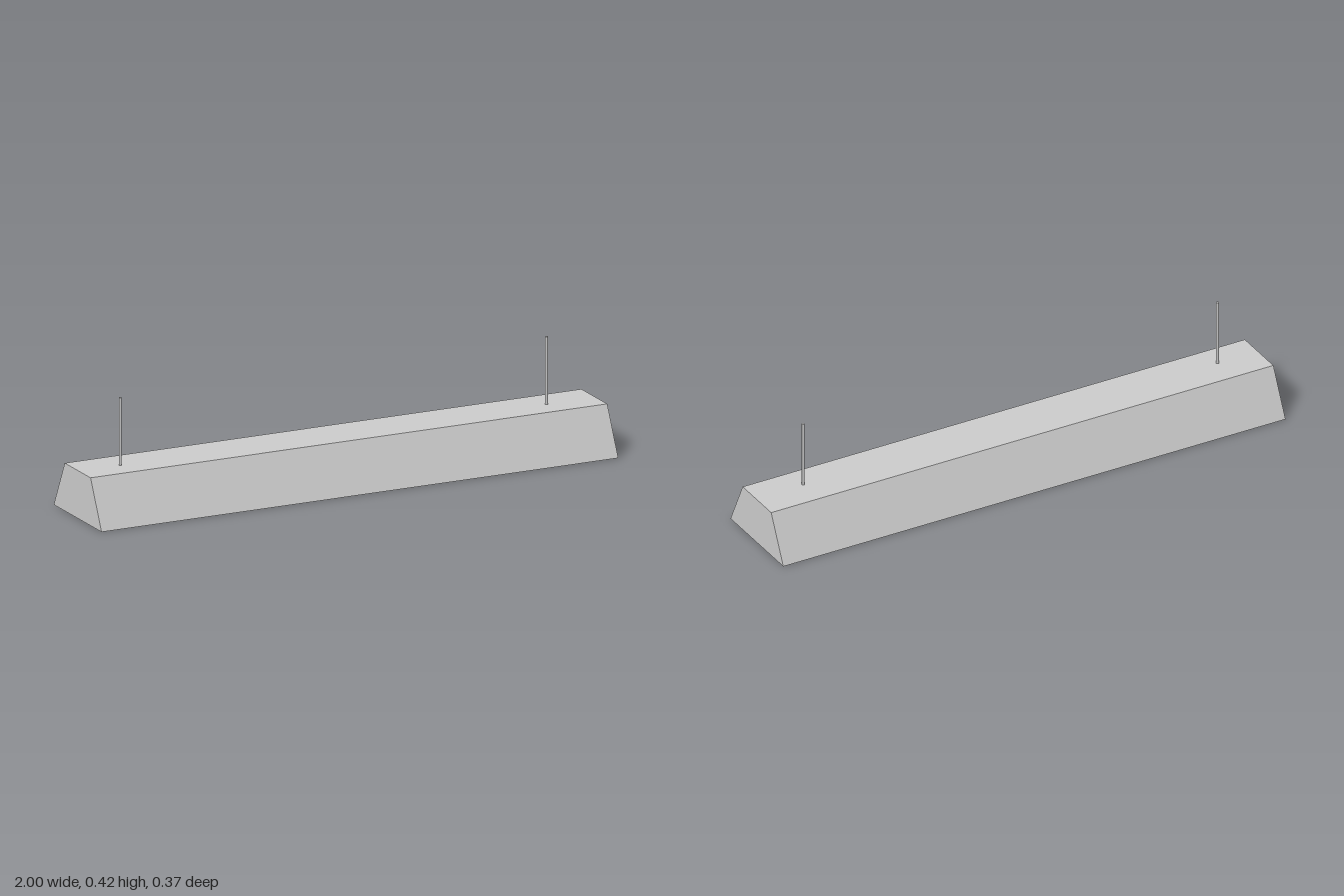
import * as THREE from 'three';

const material = new THREE.MeshStandardMaterial({ color: 0xcccccc });

// Extrude a (z, y) outline along x, centred on the given x
function prism(points, length, x) {
  const shape = new THREE.Shape(points.map(([z, y]) => new THREE.Vector2(z, y)));
  const geometry = new THREE.ExtrudeGeometry(shape, { depth: length, bevelEnabled: false });
  return geometry.translate(0, 0, -length / 2).rotateY(Math.PI / 2).translate(x, 0, 0);
}

export function createModel() {
  const group = new THREE.Group();
  const add = (name, geometry, x = 0, y = 0, z = 0) => {
    const mesh = new THREE.Mesh(geometry, material);
    mesh.name = name;
    mesh.position.set(x, y, z);
    group.add(mesh);
  };

  const top = 0.173, wall = 0.008;

  // Folded reflector housing, open underneath
  add('housing', prism([
    [-0.185, 0], [-0.1, top], [0.1, top], [0.185, 0],
    [0.185 - wall, 0], [0.1 - wall * 0.6, top - wall],
    [-0.1 + wall * 0.6, top - wall], [-0.185 + wall, 0],
  ], 2, 0));

  // Plates closing both ends, set just inside the housing
  const plate = [[-0.181, 0], [-0.098, top - 0.002], [0.098, top - 0.002], [0.181, 0]];
  for (const side of [-1, 1]) add('endPlate', prism(plate, wall, side * (1 - wall / 2)));

  // Pair of lamp tubes
  for (const z of [-0.055, 0.055]) {
    add('lampTube', new THREE.CylinderGeometry(0.027, 0.027, 1.98, 24).rotateZ(Math.PI / 2), 0, 0.046, z);
  }

  // Hanging rods
  for (const x of [-0.84, 0.81]) {
    add('hangingRod', new THREE.CylinderGeometry(0.005, 0.005, 0.25, 12), x, 0.293, 0.01);
  }

  return group;
}
